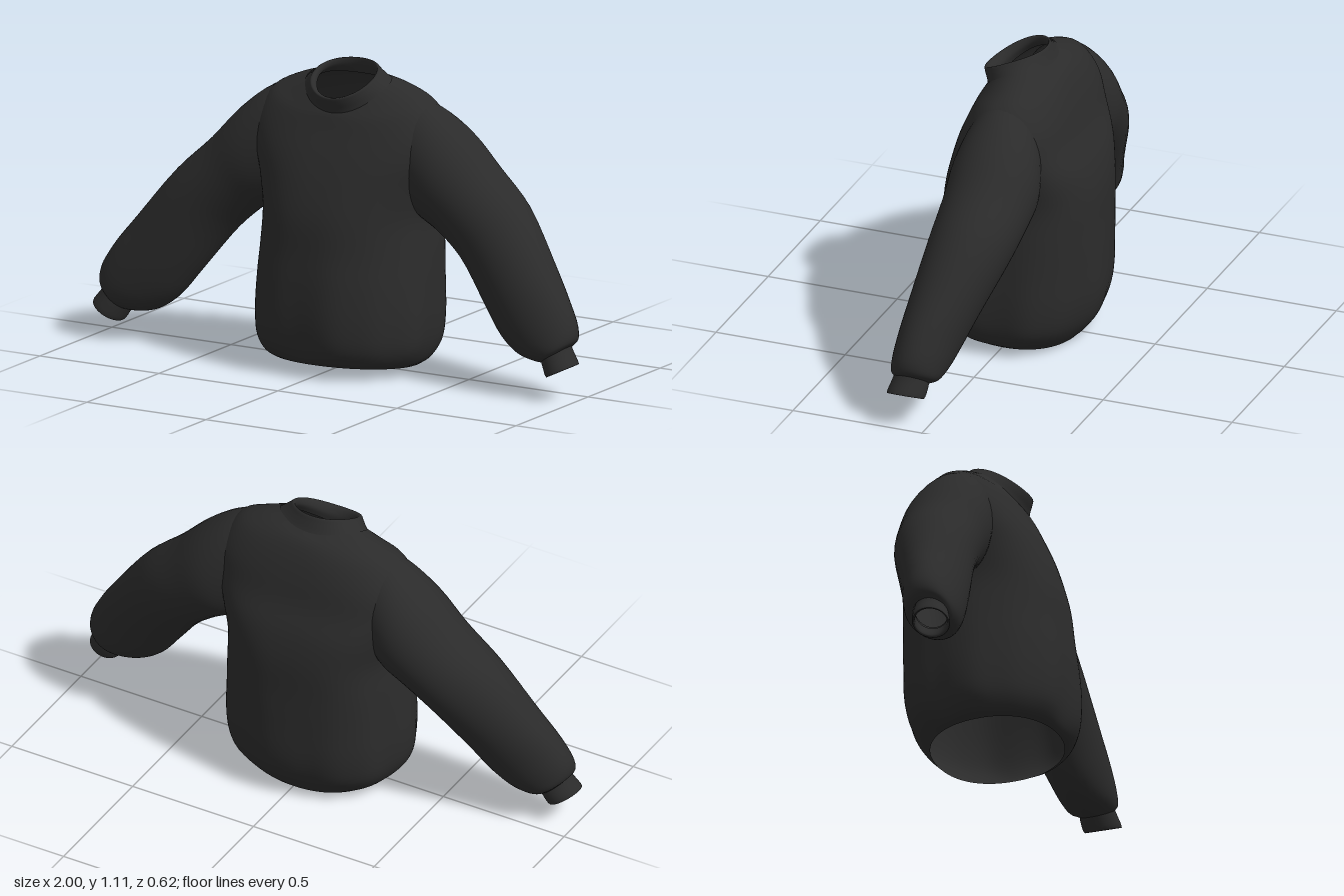
import * as THREE from 'three';

const cloth = new THREE.MeshStandardMaterial({ color: 0x2b2b2b, roughness: 0.9, side: THREE.DoubleSide });

// Smooth skin through closed rings; point(ring, angle) gives a Vector3
function loft(name, rings, point, seg = 64, sub = 4) {
  const rows = (rings.length - 1) * sub;
  const pos = [], index = [];
  for (let j = 0; j < seg; j++) {
    const a = (j / seg) * Math.PI * 2;
    const curve = new THREE.CatmullRomCurve3(rings.map(r => point(r, a)), false, 'centripetal');
    for (let i = 0; i <= rows; i++) pos.push(...curve.getPoint(i / rows).toArray());
  }
  const id = (i, j) => (j % seg) * (rows + 1) + i;
  for (let j = 0; j < seg; j++) {
    for (let i = 0; i < rows; i++) {
      index.push(id(i, j), id(i + 1, j), id(i, j + 1));
      index.push(id(i + 1, j), id(i + 1, j + 1), id(i, j + 1));
    }
  }
  const geo = new THREE.BufferGeometry();
  geo.setAttribute('position', new THREE.Float32BufferAttribute(pos, 3));
  geo.setIndex(index);
  geo.computeVertexNormals();
  const mesh = new THREE.Mesh(geo, cloth);
  mesh.name = name;
  return mesh;
}

const power = (v, n) => Math.sign(v) * Math.abs(v) ** (2 / n);

// Upright ring: [half width, z front, z back, y front, y back, y side, fold depth, front and back squareness]
function uprightPoint([w, zf, zb, yf, yb, ys, fold = 0, nf = 2, nb = 2], a) {
  const c = Math.cos(a), s = Math.sin(a), n = s > 0 ? nf : nb;
  const k = 1 + fold * (Math.sin(7 * a - 0.7) + 0.6 * Math.sin(11 * a - 1.1));
  const y = ys + ((yf - yb) / 2) * s + ((yf + yb) / 2 - ys) * s * s;
  return new THREE.Vector3(w * power(c, n) * k, y, (zf + zb) / 2 + ((zf - zb) / 2) * power(s, n) * k);
}

// Sleeve ring: [top x, top y, bottom x, bottom y, z front, z back]
function sleevePoint([tx, ty, bx, by, zf, zb], a) {
  const c = Math.cos(a), s = Math.sin(a);
  return new THREE.Vector3(
    (tx + bx) / 2 + ((tx - bx) / 2) * c,
    (ty + by) / 2 + ((ty - by) / 2) * c,
    (zf + zb) / 2 - ((zf - zb) / 2) * s
  );
}

// side mirrors the sleeve; sag lowers the elbow, forward swings the arm to the front
function createSleeve(name, side, sag, forward) {
  const sleeve = new THREE.Group();
  sleeve.name = name;
  const point = (ring, a) => {
    const p = sleevePoint(ring, a);
    const t = THREE.MathUtils.clamp((p.x - 0.3) / 0.7, 0, 1);
    p.y -= sag * Math.sin(Math.PI * t ** 1.3);
    p.z += forward * Math.min(1, t * 2);
    return p;
  };
  sleeve.add(loft(name + 'Arm', [
    [0.2, 1.02, 0.25, 0.64, 0.09, -0.14],
    [0.33, 0.987, 0.285, 0.585, 0.115, -0.182],
    [0.455, 0.905, 0.325, 0.56, 0.128, -0.205],
    [0.575, 0.788, 0.38, 0.53, 0.125, -0.198],
    [0.71, 0.665, 0.48, 0.45, 0.13, -0.173],
    [0.86, 0.465, 0.6, 0.3, 0.148, -0.105],
    [0.935, 0.355, 0.68, 0.2, 0.158, -0.065],
    [0.98, 0.265, 0.755, 0.148, 0.16, -0.04],
    [0.983, 0.22, 0.83, 0.13, 0.152, -0.02],
    [0.965, 0.197, 0.868, 0.128, 0.138, 0.01]
  ], point, 40));
  // Cuff with a turned-in edge
  sleeve.add(loft(name + 'Cuff', [
    [0.955, 0.215, 0.855, 0.145, 0.135, 0.012],
    [0.972, 0.18, 0.87, 0.115, 0.146, 0.01],
    [1.0, 0.135, 0.89, 0.082, 0.155, 0.018],
    [0.993, 0.135, 0.898, 0.087, 0.148, 0.025],
    [0.96, 0.185, 0.872, 0.13, 0.136, 0.02]
  ], point, 32));
  sleeve.scale.x = side;
  return sleeve;
}

export function createModel() {
  const model = new THREE.Group();
  model.name = 'sweatshirt';

  // Torso from the open hem up to the neckline, widening into the shoulders
  model.add(loft('torso', [
    [0.272, 0.257, -0.21, 0.044, 0.0, 0.024, 0, 2.1, 2.2],
    [0.305, 0.279, -0.242, 0.06, 0.035, 0.045, 0.006, 2.1, 2.2],
    [0.333, 0.302, -0.278, 0.11, 0.095, 0.1, 0.014, 2.2, 2.3],
    [0.342, 0.312, -0.3, 0.2, 0.185, 0.19, 0.014, 2.2, 2.3],
    [0.335, 0.306, -0.303, 0.33, 0.33, 0.33, 0.01, 2.2, 2.4],
    [0.325, 0.291, -0.3, 0.45, 0.46, 0.45, 0.006, 2.2, 2.6],
    [0.316, 0.274, -0.296, 0.58, 0.6, 0.58, 0.003, 2.3, 2.8],
    [0.34, 0.239, -0.274, 0.7, 0.71, 0.7, 0, 2.4, 3],
    [0.37, 0.2, -0.234, 0.8, 0.81, 0.8, 0, 2.5, 3],
    [0.375, 0.161, -0.206, 0.885, 0.91, 0.89, 0, 2.5, 2.8],
    [0.325, 0.144, -0.175, 0.925, 0.99, 0.985, 0, 2.2, 2.3],
    [0.245, 0.135, -0.144, 0.945, 1.037, 1.026],
    [0.168, 0.128, -0.106, 0.955, 1.06, 1.05]
  ], uprightPoint, 96));

  // Standing collar, rolled over to its inside
  model.add(loft('collar', [
    [0.172, 0.13, -0.112, 0.948, 1.055, 1.043],
    [0.158, 0.135, -0.104, 0.965, 1.068, 1.052],
    [0.138, 0.146, -0.092, 0.99, 1.092, 1.066],
    [0.126, 0.15, -0.083, 1.008, 1.11, 1.075],
    [0.115, 0.135, -0.078, 1.008, 1.11, 1.074],
    [0.113, 0.117, -0.08, 0.985, 1.085, 1.058],
    [0.14, 0.115, -0.095, 0.955, 1.05, 1.035]
  ], uprightPoint));

  model.add(createSleeve('leftSleeve', 1, 0, 0), createSleeve('rightSleeve', -1, 0.03, 0.022));
  return model;
}
